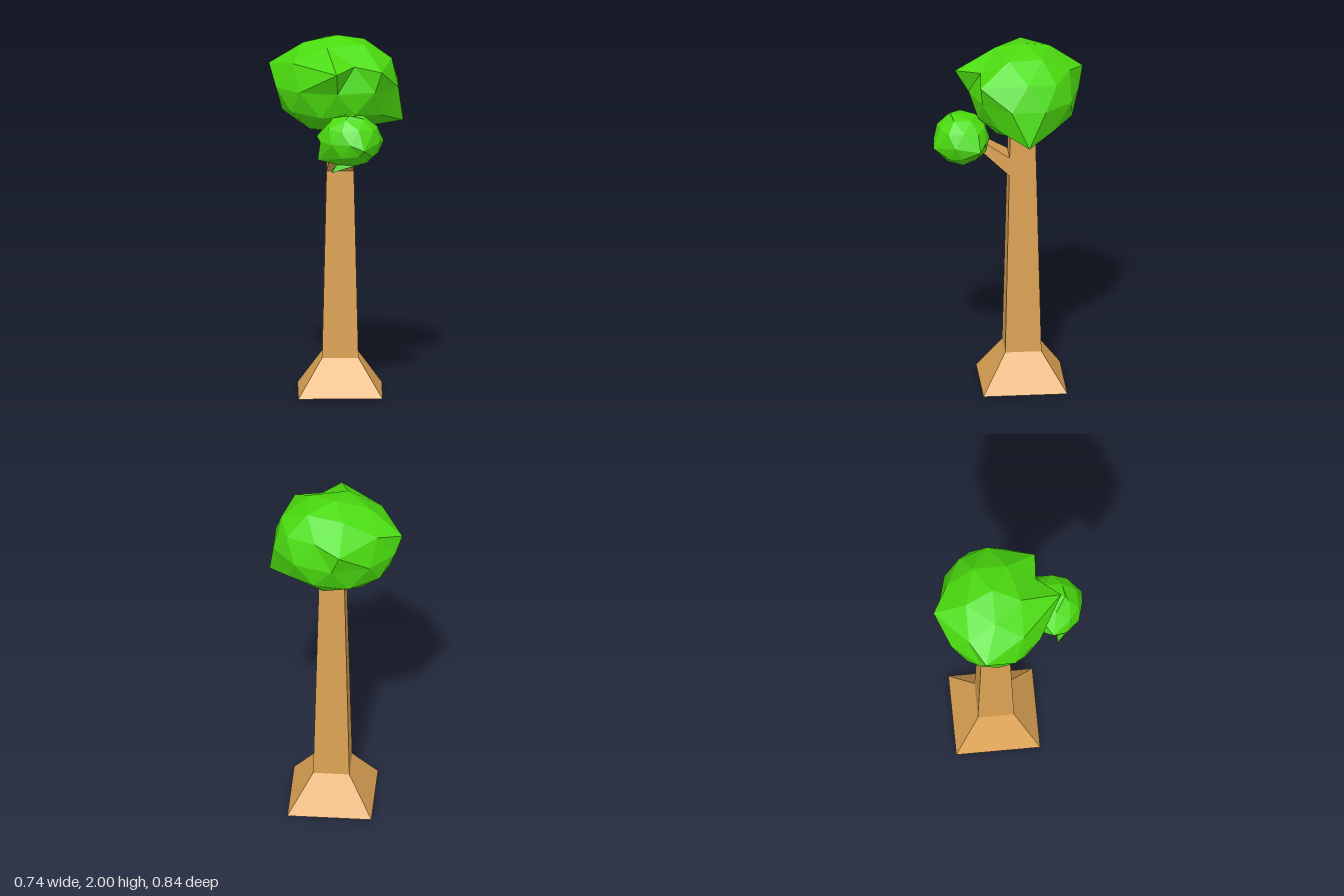
import * as THREE from 'three';

const bark = new THREE.MeshStandardMaterial({ color: 0xdca254, flatShading: true });
const leaf = new THREE.MeshStandardMaterial({ color: 0x4bdc0f, flatShading: true });

// Skin four-cornered rings (counter-clockwise seen from the far end) and cap both ends
function loft(name, rings) {
  const pos = [];
  const quad = (a, b, c, d) => pos.push(...a, ...b, ...c, ...a, ...c, ...d);
  for (let k = 0; k < rings.length - 1; k++) {
    const lo = rings[k], hi = rings[k + 1];
    for (let i = 0; i < 4; i++) {
      const j = (i + 1) % 4;
      quad(lo[i], lo[j], hi[j], hi[i]);
    }
  }
  quad(...[...rings[0]].reverse());
  quad(...rings[rings.length - 1]);
  const g = new THREE.BufferGeometry();
  g.setAttribute('position', new THREE.Float32BufferAttribute(pos, 3));
  g.computeVertexNormals();
  const mesh = new THREE.Mesh(g, bark);
  mesh.name = name;
  return mesh;
}

// Low-poly leaf ball; each pull moves the vertex nearest a unit direction to a new place
function foliage(name, center, radii, pulls) {
  const g = new THREE.IcosahedronGeometry(1, 1);
  g.rotateZ(Math.atan(2 / (1 + Math.sqrt(5)))); // one corner straight up
  const p = g.attributes.position;
  const c = new THREE.Vector3(...center), r = new THREE.Vector3(...radii);
  const moves = pulls.map(([dir, to]) => [new THREE.Vector3(...dir).normalize(), new THREE.Vector3(...to)]);
  const v = new THREE.Vector3();
  for (let i = 0; i < p.count; i++) {
    v.fromBufferAttribute(p, i);
    const hit = moves.find(([dir]) => dir.distanceTo(v) < 0.2);
    if (hit) v.copy(hit[1]);
    else v.multiply(r).add(c);
    p.setXYZ(i, v.x, v.y, v.z);
  }
  g.computeVertexNormals();
  const mesh = new THREE.Mesh(g, leaf);
  mesh.name = name;
  return mesh;
}

export function createModel() {
  const tree = new THREE.Group();
  tree.name = 'tree';

  // Square trunk with a flared foot
  const square = (y, h, x = 0.022, z = -0.078) =>
    [[x - h, y, z + h], [x + h, y, z + h], [x + h, y, z - h], [x - h, y, z - h]];
  tree.add(loft('trunk', [square(0, 0.232), square(0.205, 0.1), square(1.49, 0.07)]));

  // Side branch rising towards the front
  const slice = (h, yLow, zLow, yHigh, zHigh, x = 0.022) =>
    [[x - h, yLow, zLow], [x + h, yLow, zLow], [x + h, yHigh, zHigh], [x - h, yHigh, zHigh]];
  tree.add(loft('branch', [
    slice(0.075, 1.25, -0.003, 1.355, -0.005),
    slice(0.045, 1.42, 0.18, 1.46, 0.16),
  ]));

  // Main crown with its upper corners pulled outwards
  tree.add(foliage('mainCrown', [0.005, 1.725, -0.09], [0.355, 0.275, 0.305], [
    [[0.724, 0.447, 0.526], [0.25, 1.84, 0.17]],
    [[-0.276, 0.447, 0.851], [0, 1.85, 0.29]],
    [[-0.276, 0.447, -0.851], [-0.04, 1.84, -0.42]],
    [[-0.894, 0.447, 0], [-0.37, 1.83, -0.16]],
    [[0.894, -0.447, 0], [0.37, 1.52, -0.09]],
  ]));

  // Small crown on the branch, with a drooping lower corner
  tree.add(foliage('smallCrown', [0.075, 1.48, 0.26], [0.175, 0.15, 0.155], [
    [[0, 1, 0], [0.07, 1.63, 0.32]],
    [[-0.276, -0.851, 0.447], [-0.03, 1.31, 0.31]],
    [[0, -1, 0], [-0.03, 1.305, 0.31]],
    [[-0.724, -0.447, 0.526], [-0.105, 1.37, 0.26]],
    [[-0.894, 0.447, 0], [-0.11, 1.5, 0.24]],
    [[0.951, 0, -0.309], [0.26, 1.46, 0.17]],
    [[0.588, 0, 0.809], [0.15, 1.45, 0.42]],
  ]));
  return tree;
}
